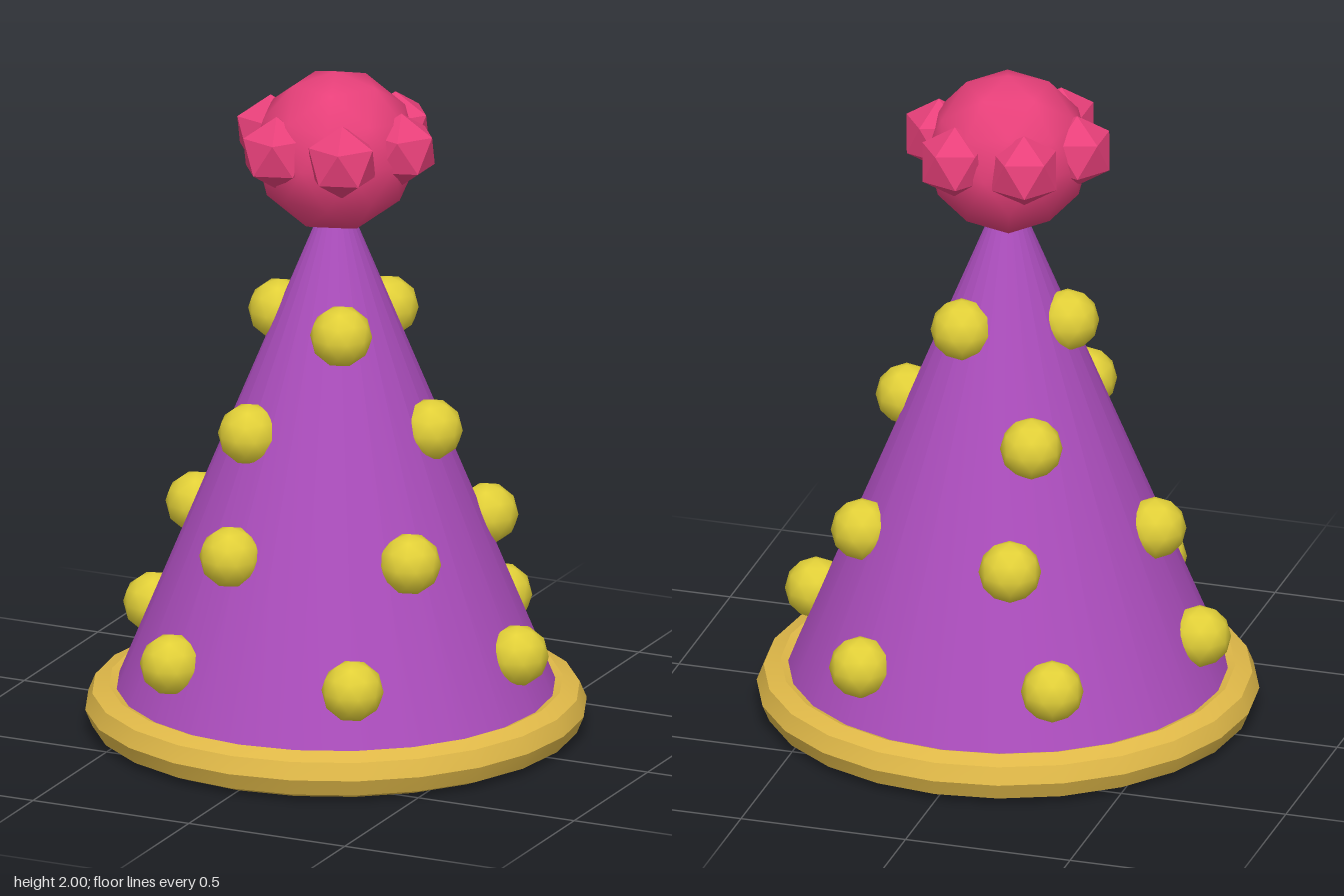
import * as THREE from 'three';
import { toCreasedNormals } from 'three/addons/utils/BufferGeometryUtils.js';

const mat = (name, color) => {
  const m = new THREE.MeshStandardMaterial({ color });
  m.name = name;
  return m;
};

// Icosphere turned so that a corner points straight up
const icosphere = (radius, detail) =>
  new THREE.IcosahedronGeometry(radius, detail).rotateZ(-Math.atan(2 / (1 + Math.sqrt(5))));

export function createModel() {
  const purple = mat('purple', 0xab4dbc);
  const gold = mat('gold', 0xdfb848);
  const yellow = mat('yellow', 0xe2d038);
  const pink = mat('pink', 0xe8407a);

  const hat = new THREE.Group();
  hat.name = 'partyHat';

  const add = (parent, name, geometry, material, x, y, z) => {
    const mesh = new THREE.Mesh(geometry, material);
    mesh.name = name;
    mesh.position.set(x, y, z);
    parent.add(mesh);
  };

  // Ring of copies about the y axis
  const ring = (parent, name, geometry, material, count, radius, y, start = 0) => {
    for (let i = 0; i < count; i++) {
      const a = start + (i / count) * Math.PI * 2;
      add(parent, name, geometry, material, radius * Math.cos(a), y, radius * Math.sin(a));
    }
  };

  // Cone body, closed underneath
  const base = 0.02, tip = 1.685;
  const cone = new THREE.ConeGeometry(0.684, tip - base, 24);
  add(hat, 'cone', cone, purple, 0, (base + tip) / 2, 0);

  // Rim: octagonal section, creased between its bands
  const rim = new THREE.TorusGeometry(0.66, 0.07, 8, 24).rotateX(Math.PI / 2);
  add(hat, 'rim', toCreasedNormals(rim, Math.PI / 6), gold, 0, 0.07, 0);

  // Rows of dots, half sunk into the cone
  const dots = new THREE.Group();
  dots.name = 'dots';
  hat.add(dots);
  const dot = icosphere(0.091, 1);
  const rows = [
    { y: 0.298, radius: 0.583, count: 6, start: 0 },
    { y: 0.624, radius: 0.447, count: 5, start: Math.PI / 5 },
    { y: 0.95, radius: 0.307, count: 3, start: 0 },
    { y: 1.25, radius: 0.182, count: 3, start: Math.PI / 3 },
  ];
  for (const r of rows) ring(dots, 'dot', dot, yellow, r.count, r.radius, r.y, r.start);

  // Pompom: smooth ball with six faceted tufts
  const pompom = new THREE.Group();
  pompom.name = 'pompom';
  hat.add(pompom);
  add(pompom, 'ball', icosphere(0.24, 1), pink, 0, 1.76, 0);
  ring(pompom, 'tuft', icosphere(0.11, 0), pink, 6, 0.21, 1.79);

  return hat;
}
